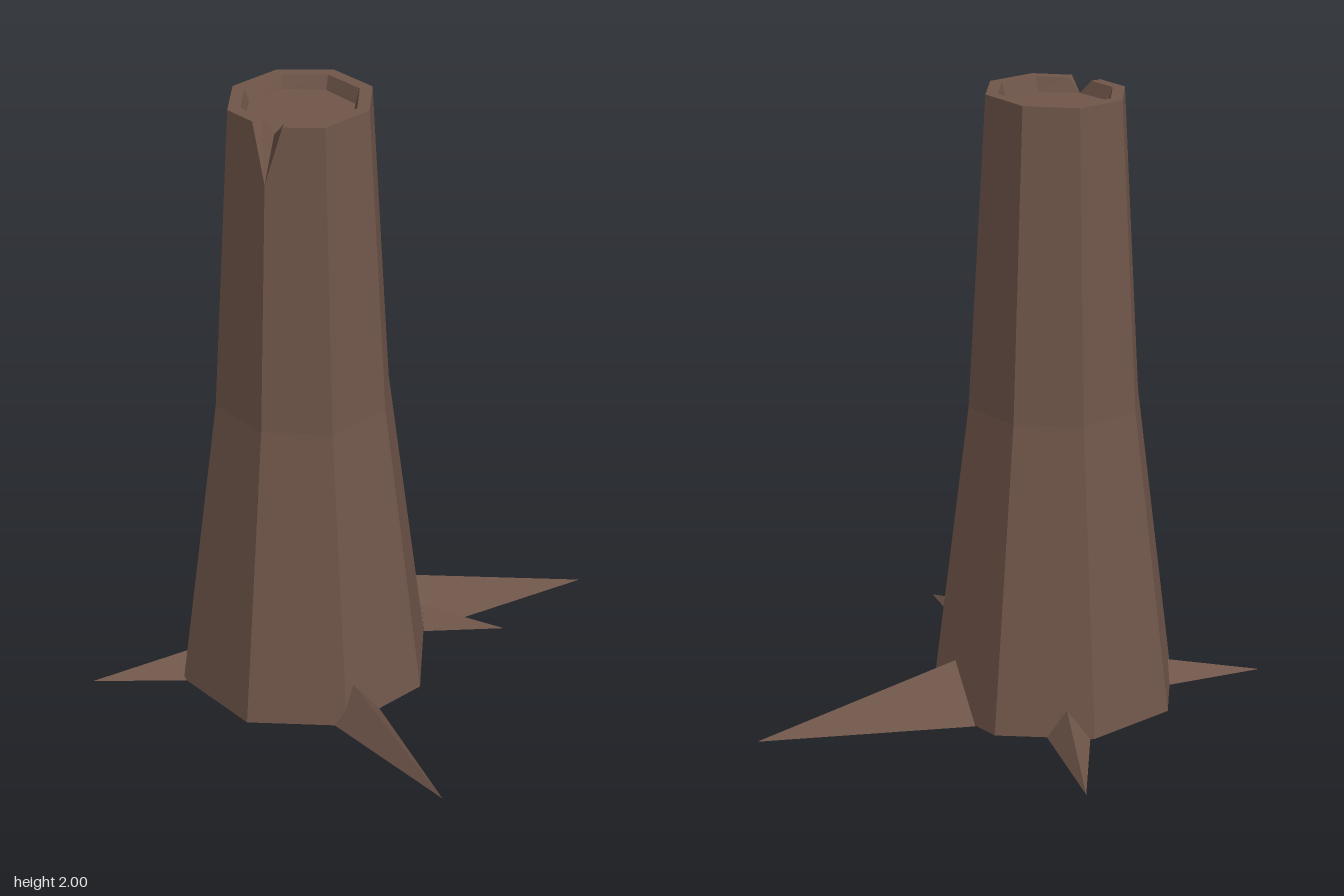
import * as THREE from 'three';

const CX = -0.085, CZ = 0.147, SIDES = 8;

// Collects planar convex polygons (counter-clockwise) into a flat-shaded geometry
function polygons(list) {
  const pos = [];
  for (const p of list) {
    for (let i = 1; i < p.length - 1; i++) pos.push(...p[0], ...p[i], ...p[i + 1]);
  }
  const g = new THREE.BufferGeometry();
  g.setAttribute('position', new THREE.Float32BufferAttribute(pos, 3));
  g.computeVertexNormals();
  return g;
}

// Octagonal ring around the trunk axis, starting at the front corner
function ring(r, y) {
  return Array.from({ length: SIDES }, (_, i) => {
    const a = (i / SIDES) * Math.PI * 2;
    return [CX + r * Math.sin(a), y, CZ + r * Math.cos(a)];
  });
}

// The cut top leans very slightly
const lean = ([x, y, z]) => [x, y + 0.025 * (x - 0.14), z];

function trunkGeometry() {
  const base = ring(0.413, 0), mid = ring(0.283, 1);
  const top = ring(0.225, 2).map(lean), rim = ring(0.185, 2).map(lean);
  const floor = ring(0.171, 1.95);

  // Corners of the split in the front of the rim
  const outL = lean([CX - 0.055, 2, 0.349]), outR = lean([CX + 0.045, 2, 0.353]);
  const inL = lean([CX - 0.04, 2, 0.315]), inR = lean([CX + 0.036, 2, 0.317]);
  const tip = [CX, 1.815, 0.383];

  const faces = [[...base].reverse(), floor];
  for (let i = 0; i < SIDES; i++) {
    const j = (i + 1) % SIDES;
    faces.push([base[i], base[j], mid[j], mid[i]]);
    if (i === 0) {
      faces.push([mid[0], mid[1], top[1], outR, tip]);
      faces.push([outR, top[1], rim[1], inR]);
      faces.push([inR, rim[1], floor[1], floor[0]]);
    } else if (j === 0) {
      faces.push([mid[i], mid[0], tip, outL, top[i]]);
      faces.push([top[i], outL, inL, rim[i]]);
      faces.push([rim[i], inL, floor[0], floor[i]]);
    } else {
      faces.push([mid[i], mid[j], top[j], top[i]]);
      faces.push([top[i], top[j], rim[j], rim[i]]);
      faces.push([rim[i], rim[j], floor[j], floor[i]]);
    }
  }
  // Sloping sides of the split
  faces.push([outR, inR, floor[0], tip], [inL, outL, tip, floor[0]]);
  return polygons(faces);
}

// Pointed root: ridge on the trunk, two ground corners and a tip
function rootGeometry(ridge, [ax, az], [bx, bz], [tx, tz]) {
  const a = [ax, 0, az], b = [bx, 0, bz], t = [tx, 0, tz];
  return polygons([[ridge, a, t], [ridge, t, b], [a, b, t], [ridge, b, a]]);
}

export function createModel() {
  const model = new THREE.Group();
  model.name = 'treeTrunk';
  const bark = new THREE.MeshStandardMaterial({ color: 0x70564a });
  bark.name = 'brown bark';

  const add = (name, geometry) => {
    const mesh = new THREE.Mesh(geometry, bark);
    mesh.name = name;
    model.add(mesh);
  };

  add('trunk', trunkGeometry());

  const roots = {
    frontLeftRoot: [[0.21, 0.133, 0.395], [0.175, 0.455], [0.265, 0.315], [0.63, 0.643]],
    backLeftRoot: [[0.108, 0.18, -0.165], [0.207, -0.14], [0, -0.235], [0.56, -0.645]],
    smallBackLeftRoot: [[0.185, 0.075, -0.175], [0.212, -0.14], [0.15, -0.215], [0.443, -0.27]],
    backRightRoot: [[-0.29, 0.09, -0.168], [-0.24, -0.205], [-0.365, -0.152], [-0.52, -0.505]],
    frontRightRoot: [[-0.385, 0.07, 0.37], [-0.42, 0.33], [-0.365, 0.445], [-0.635, 0.58]],
  };
  for (const [name, points] of Object.entries(roots)) add(name, rootGeometry(...points));

  return model;
}
